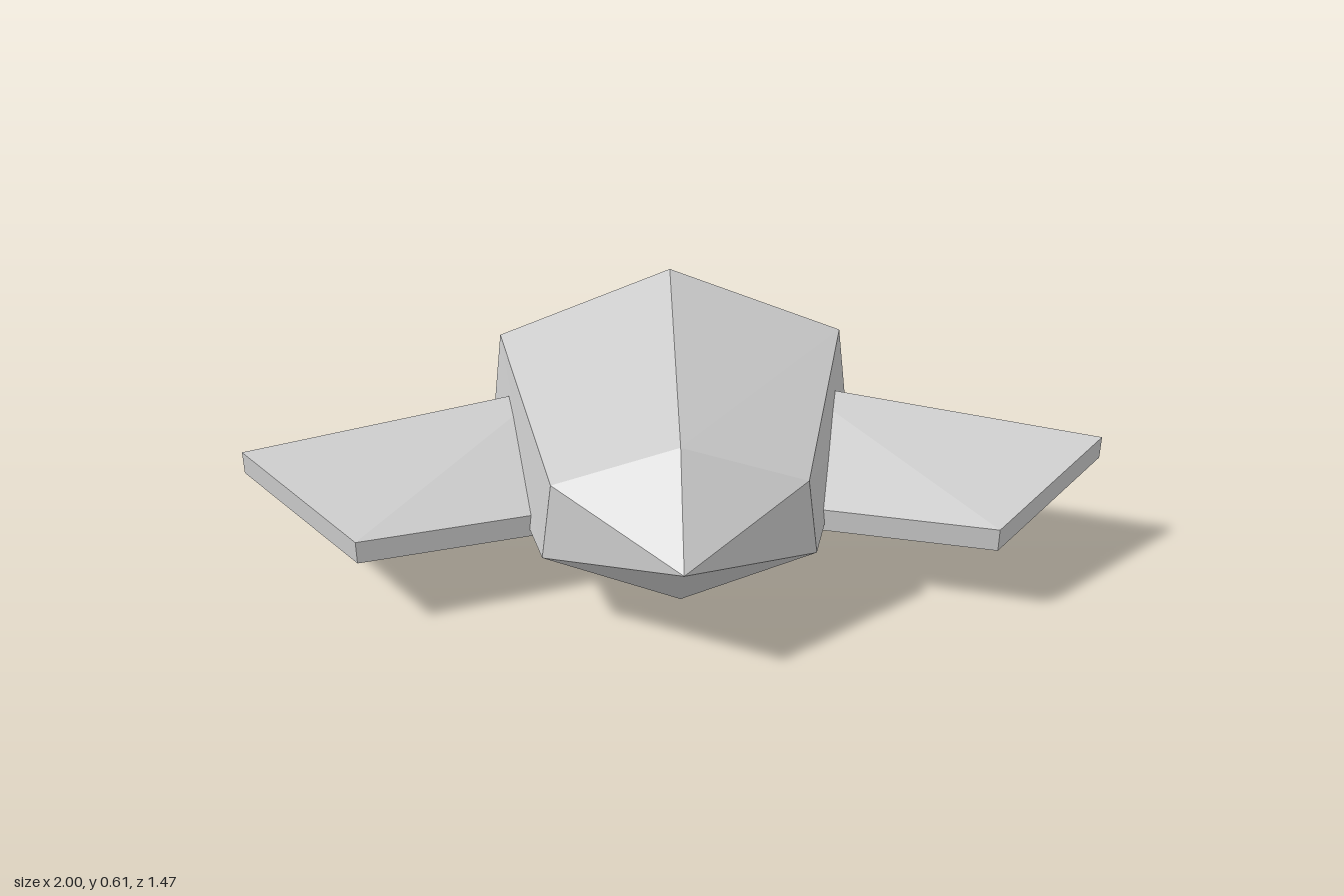
import * as THREE from 'three';

// Flat-shaded mesh from corner points and outward-facing triangles
function facetMesh(name, points, faces, material) {
  const indexed = new THREE.BufferGeometry();
  indexed.setAttribute('position', new THREE.Float32BufferAttribute(points.flat(), 3));
  indexed.setIndex(faces.flat());
  const geometry = indexed.toNonIndexed();
  geometry.computeVertexNormals();
  const mesh = new THREE.Mesh(geometry, material);
  mesh.name = name;
  return mesh;
}

// Six-sided ring, running from the top over the left (+x) side to the bottom and back
function ring(top, upper, lower, bottom) {
  const mirror = ([x, y, z]) => [-x, y, z];
  return [top, upper, lower, bottom, mirror(lower), mirror(upper)];
}

// Body: pointed nose, two hexagonal rings, pointed tail
function createBody(material) {
  const front = ring([0, 0.49, 0.54], [0.28, 0.39, 0.52], [0.305, 0.2, 0.515], [0, 0.11, 0.555]);
  const middle = ring([0, 0.605, -0.135], [0.42, 0.45, -0.1], [0.455, 0.155, -0.08], [0, 0, -0.115]);
  const points = [[0, 0.295, 0.735], ...front, ...middle, [0, 0.295, -0.735]];
  const faces = [];
  for (let i = 0; i < 6; i++) {
    const a = 1 + i, b = 1 + (i + 1) % 6;
    const c = a + 6, d = b + 6;
    faces.push([0, b, a], [a, b, d], [a, d, c], [c, d, 13]);
  }
  return facetMesh('body', points, faces, material);
}

// Fin: thin, twisted four-cornered slab; side is +1 for left, -1 for right
function createFin(name, side, material) {
  const thickness = 0.055;
  const outline = [
    [0.3, 0.365, 0.023], // root back
    [0.3, 0.225, 0.37], // root front
    [0.715, 0.24, 0.5], // tip front
    [1, 0.33, 0.25], // tip back
  ];
  const top = outline.map(([x, y, z]) => [side * x, y, z]);
  const under = top.map(([x, y, z]) => [x, y - thickness, z]);
  const faces = [[0, 1, 2], [0, 2, 3], [4, 6, 5], [4, 7, 6]];
  for (let i = 0; i < 4; i++) {
    const j = (i + 1) % 4;
    faces.push([i, i + 4, j + 4], [i, j + 4, j]);
  }
  if (side < 0) faces.forEach((face) => face.reverse());
  return facetMesh(name, [...top, ...under], faces, material);
}

export function createModel() {
  const group = new THREE.Group();
  group.name = 'finnedBody';
  const material = new THREE.MeshStandardMaterial({ color: 0xcccccc, flatShading: true });
  group.add(
    createBody(material),
    createFin('leftFin', 1, material),
    createFin('rightFin', -1, material),
  );
  return group;
}
